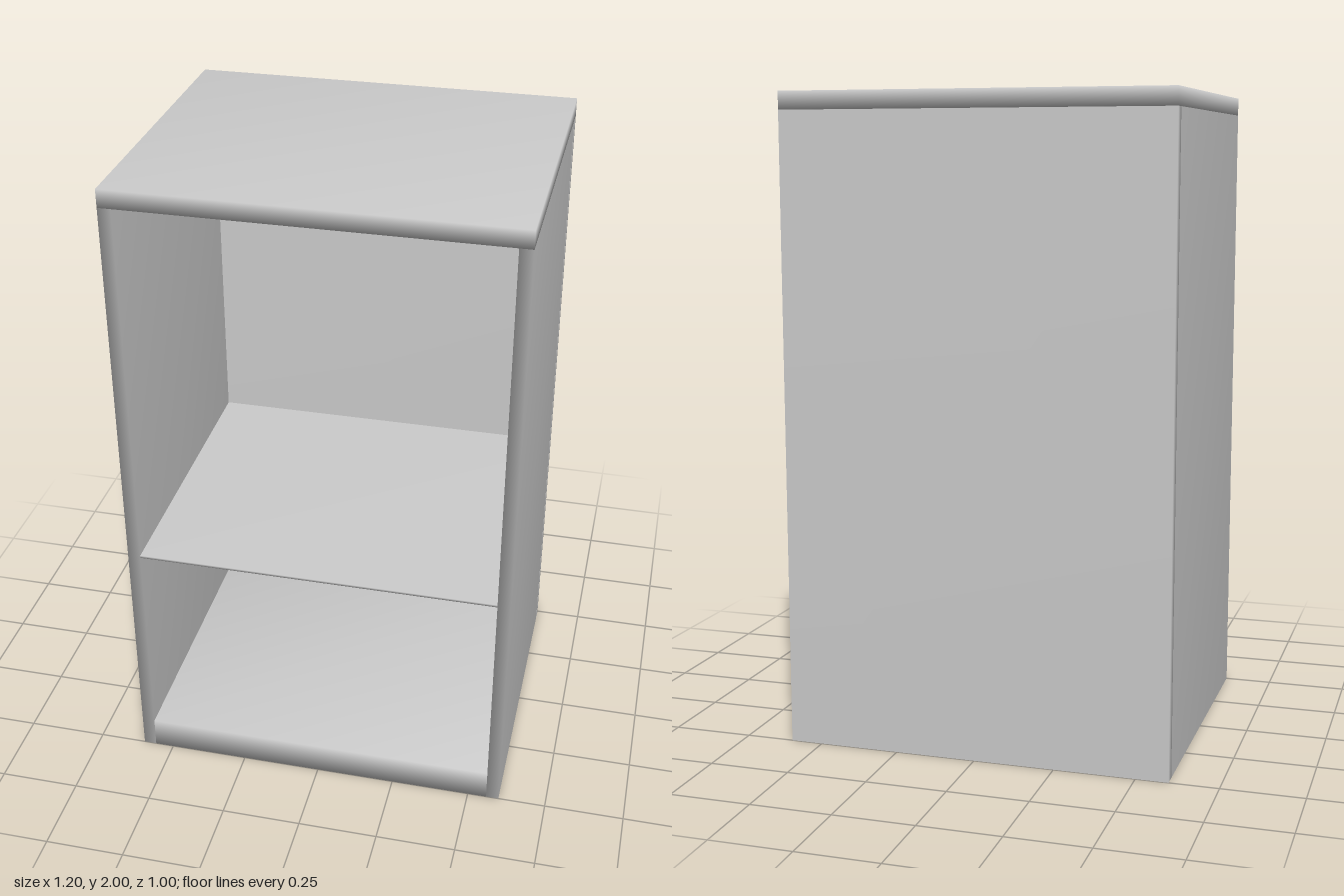
import * as THREE from 'three';
import { mergeVertices } from 'three/addons/utils/BufferGeometryUtils.js';

const material = new THREE.MeshStandardMaterial({ color: 0xcccccc });

// Board given by its min and max corners, with shared corners so the thin edges shade softly
function board(name, [x0, y0, z0], [x1, y1, z1]) {
  let geo = new THREE.BoxGeometry(x1 - x0, y1 - y0, z1 - z0);
  geo.deleteAttribute('normal');
  geo.deleteAttribute('uv');
  geo = mergeVertices(geo);
  geo.computeVertexNormals();
  const mesh = new THREE.Mesh(geo, material);
  mesh.name = name;
  mesh.position.set((x0 + x1) / 2, (y0 + y1) / 2, (z0 + z1) / 2);
  return mesh;
}

export function createModel() {
  const cabinet = new THREE.Group();
  cabinet.name = 'cabinet';

  const W = 0.6, D = 0.5, H = 2; // half width, half depth, height
  const t = 0.04;                // side and back panel thickness
  const topY = 1.945;            // underside of the top
  const inner = W - t, back = -D + t;

  cabinet.add(
    board('topPanel', [-W, topY, -D], [W, H, D]),
    board('backPanel', [-W, 0, -D], [W, topY, back]),
    board('leftPanel', [inner, 0, back], [W, topY, D]),
    board('rightPanel', [-W, 0, back], [-inner, topY, D]),
    board('bottomPanel', [-inner, 0, back], [inner, 0.1, D]),
    board('shelf', [-inner, 0.771, back], [inner, 0.779, D])
  );
  return cabinet;
}
